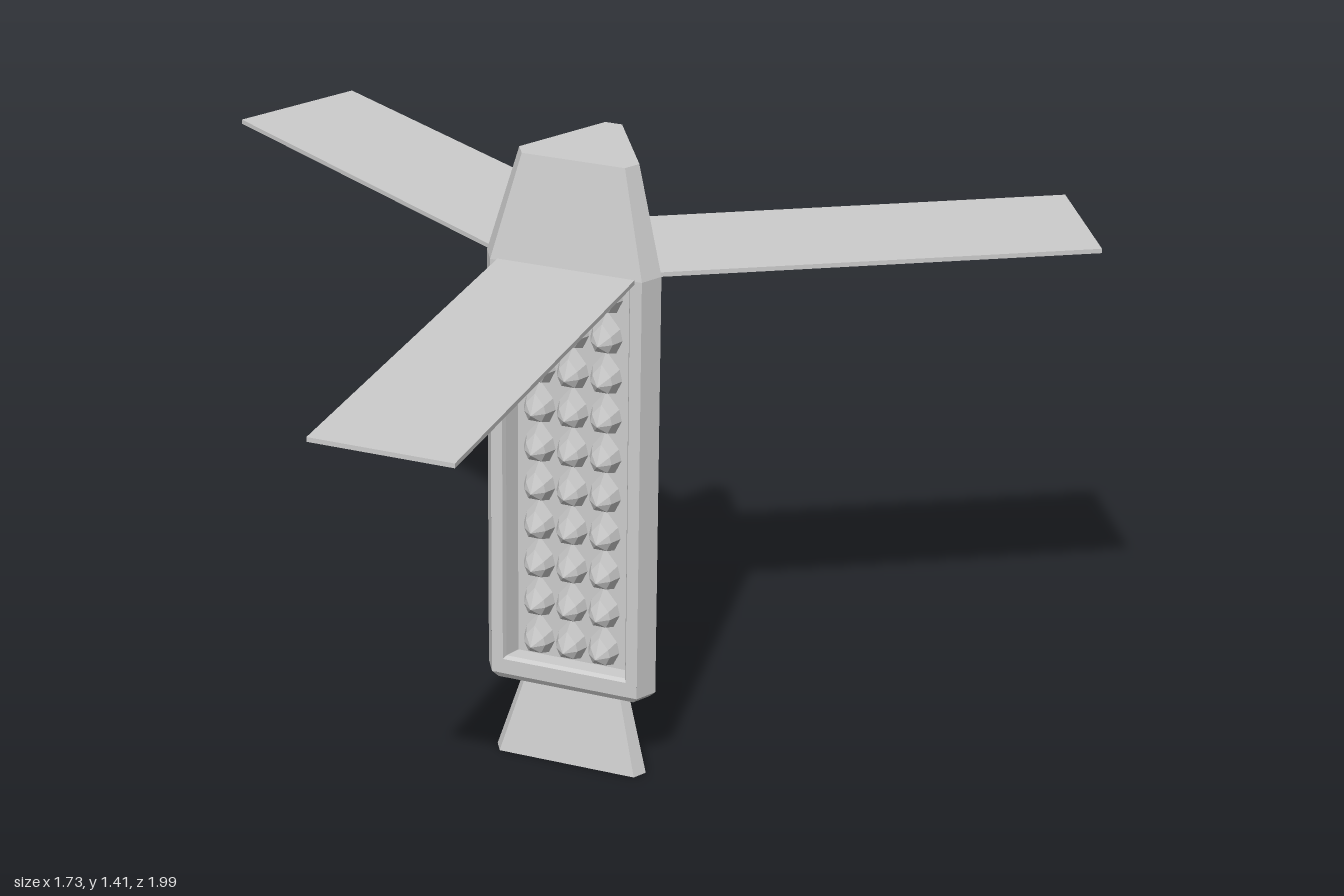
import * as THREE from 'three';

const grey = (side = THREE.FrontSide) =>
  new THREE.MeshStandardMaterial({ color: 0xcccccc, flatShading: true, side });

// Skin a list of equal-length rings, optionally closing the first and last
function loft(rings, capStart = false, capEnd = false) {
  const pos = [];
  const tri = (...pts) => pts.forEach((p) => pos.push(...p));
  const n = rings[0].length;
  for (let k = 0; k < rings.length - 1; k++) {
    for (let i = 0; i < n; i++) {
      const j = (i + 1) % n;
      const [a, b] = [rings[k][i], rings[k][j]];
      const [c, d] = [rings[k + 1][i], rings[k + 1][j]];
      tri(a, c, b);
      tri(b, c, d);
    }
  }
  const last = rings[rings.length - 1];
  for (let i = 1; i < n - 1; i++) {
    if (capStart) tri(rings[0][0], rings[0][i], rings[0][i + 1]);
    if (capEnd) tri(last[0], last[i + 1], last[i]);
  }
  const g = new THREE.BufferGeometry();
  g.setAttribute('position', new THREE.Float32BufferAttribute(pos, 3));
  g.computeVertexNormals();
  return g;
}

// Triangle with cut corners: R = distance to the corner cut, w = half its width
function triRing(R, w, y) {
  const pts = [];
  for (let k = 0; k < 3; k++) {
    const a = (k * 2 * Math.PI) / 3;
    const c = Math.cos(a), s = Math.sin(a);
    for (const t of [-w, w]) pts.push([R * c - t * s, y, R * s + t * c]);
  }
  return pts;
}

// Clockwise rectangle in a side's own plane
const rectRing = (h, y0, y1, z) => [[-h, y0, z], [-h, y1, z], [h, y1, z], [h, y0, z]];

function add(parent, name, geometry, material) {
  const m = new THREE.Mesh(geometry, material);
  m.name = name;
  parent.add(m);
  return m;
}

const R = 0.21, W = 0.026;                 // body corner distance and half width
const FACE = R / 2 + W * 0.866;            // distance from axis to a side face
const HALF = R * 0.866 - W / 2;            // half width of a side face
const Y0 = 0.205, Y1 = 1.18;               // straight part of the body
const FLOOR = FACE - 0.045;                // recess floor

function spikeGeometry() {
  // Drop-shaped base rising to a tip below its middle
  const base = [[0, 0.056], [0.03, 0.018], [0.036, -0.008], [0.022, -0.038],
    [-0.022, -0.038], [-0.036, -0.008], [-0.03, 0.018]];
  const ring = (k, z) => base.map(([x, y]) => [x * k, -0.006 + (y + 0.006) * k, z]);
  return loft([ring(1, 0), ring(0.68, 0.028), ring(0.01, 0.052)]);
}

function createSide(spike, mat) {
  const side = new THREE.Group();
  side.name = 'bodySide';

  // Flat frame around the recess
  const frame = new THREE.Shape([[-HALF, Y0], [HALF, Y0], [HALF, Y1], [-HALF, Y1]]
    .map(([x, y]) => new THREE.Vector2(x, y)));
  frame.holes.push(new THREE.Path(rectRing(0.143, 0.24, 1.17, 0)
    .map(([x, y]) => new THREE.Vector2(x, y))));
  add(side, 'sideFrame', new THREE.ShapeGeometry(frame), mat).position.z = FACE;

  // Recess walls and floor
  add(side, 'sideRecess', loft([
    rectRing(0.143, 0.24, 1.17, FACE),
    rectRing(0.138, 0.245, 1.165, FACE - 0.01),
    rectRing(0.125, 0.245, 1.165, FLOOR),
  ], false, true), grey(THREE.DoubleSide));

  // Rows of spikes on the floor
  for (let row = 0; row < 10; row++) {
    for (let col = -1; col <= 1; col++) {
      add(side, 'spike', spike, mat).position.set(col * 0.075, 0.291 + row * 0.0922, FLOOR);
    }
  }

  // Long thin wing standing straight out from the side
  const wing = add(side, 'wing', new THREE.BoxGeometry(0.305, 0.01, 0.955), mat);
  wing.position.set(0, 1.178, 1.0635 - 0.955 / 2);
  return side;
}

export function createModel() {
  const model = new THREE.Group();
  model.name = 'wingedCanister';
  const body = new THREE.Group();
  body.name = 'body';
  body.position.x = 0.1975;
  model.add(body);
  const mat = grey();
  const spike = spikeGeometry();

  for (let k = 0; k < 3; k++) {
    const a = -Math.PI / 2 + (k * 2 * Math.PI) / 3;
    const side = createSide(spike, mat);
    side.rotation.y = a;
    body.add(side);

    // Narrow strip along the cut corner
    const corner = new THREE.Group();
    corner.name = 'corner';
    corner.rotation.y = a + Math.PI / 3;
    add(corner, 'cornerStrip', new THREE.PlaneGeometry(2 * W, Y1 - Y0), mat)
      .position.set(0, (Y0 + Y1) / 2, R);
    body.add(corner);
  }

  // Bevelled underside
  add(body, 'base', loft([triRing(0.195, 0.023, 0.19), triRing(R, W, Y0)], true), mat);
  // Tapered nose
  add(body, 'nose', loft([triRing(R, W, Y1), triRing(0.1425, 0.019, 1.41)], true, true), mat);
  // Hollow flared nozzle
  add(body, 'nozzle', loft([triRing(0.1925, 0.017, 0), triRing(0.13, 0.012, 0.192)]),
    grey(THREE.DoubleSide));

  return model;
}
